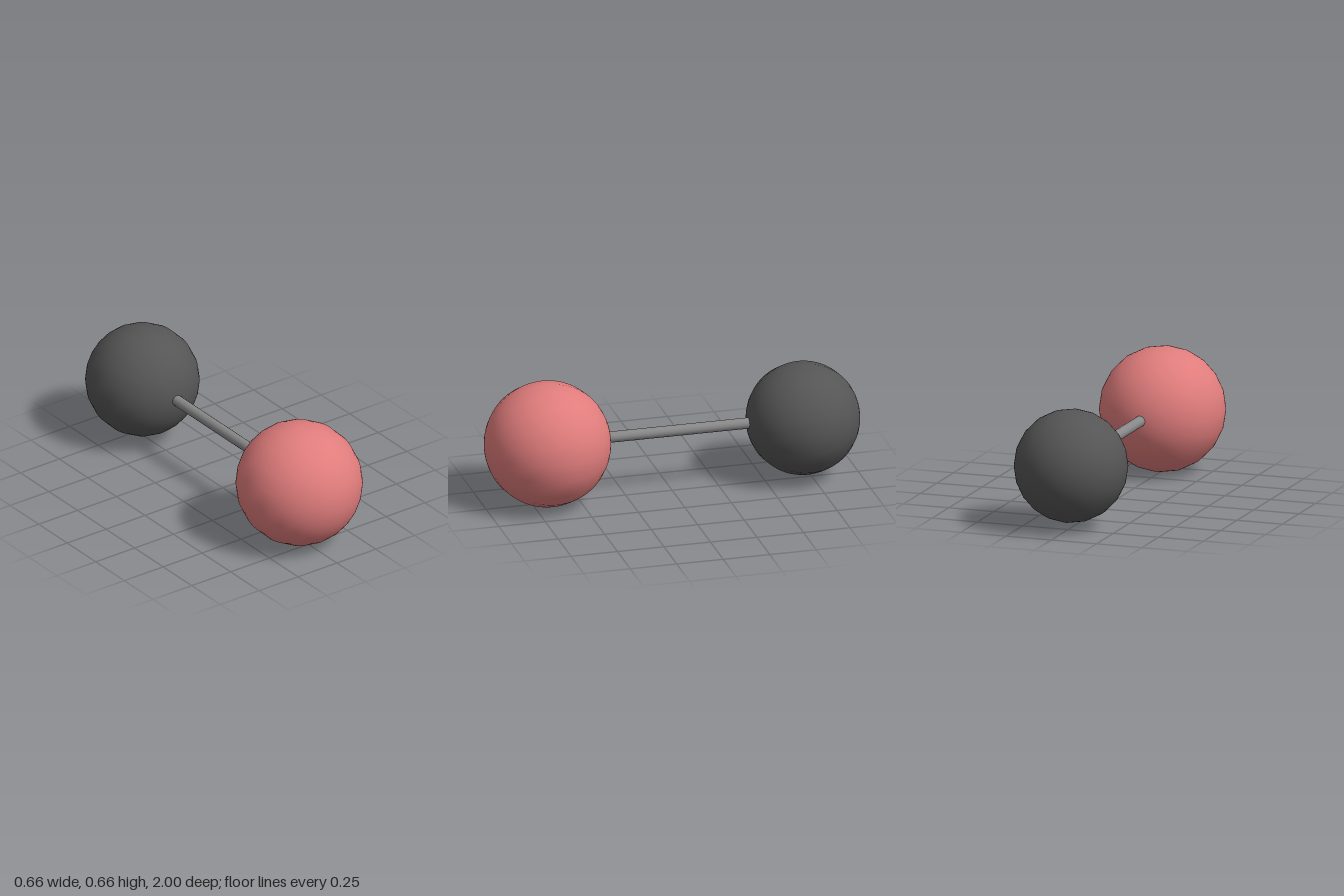
import * as THREE from 'three';

const AXIS_Y = 0.332; // height of the shared centre line

// Ball with its poles on the z axis: 20 sides around, fine rings along
function ball(name, radius, z, color) {
  const geometry = new THREE.SphereGeometry(radius, 20, 40).rotateX(Math.PI / 2);
  const mesh = new THREE.Mesh(geometry, new THREE.MeshStandardMaterial({ color }));
  mesh.name = name;
  mesh.position.set(0, AXIS_Y, z);
  return mesh;
}

export function createModel() {
  const model = new THREE.Group();
  model.name = 'ballAndStick';

  // Large red ball in front, smaller dark ball behind
  const front = ball('frontBall', 0.33, 0.67, 0xe07c7c);
  const back = ball('backBall', 0.297, -0.703, 0x555555);

  // Thin rod joining the two balls, its ends sunk inside them
  const from = back.position.z + 0.2;
  const to = front.position.z - 0.2;
  const rod = new THREE.Mesh(
    new THREE.CylinderGeometry(0.029, 0.029, to - from, 16).rotateX(Math.PI / 2),
    new THREE.MeshStandardMaterial({ color: 0x888888 })
  );
  rod.name = 'connectingRod';
  rod.position.set(0.005, AXIS_Y + 0.004, (from + to) / 2);

  model.add(front, back, rod);
  return model;
}
